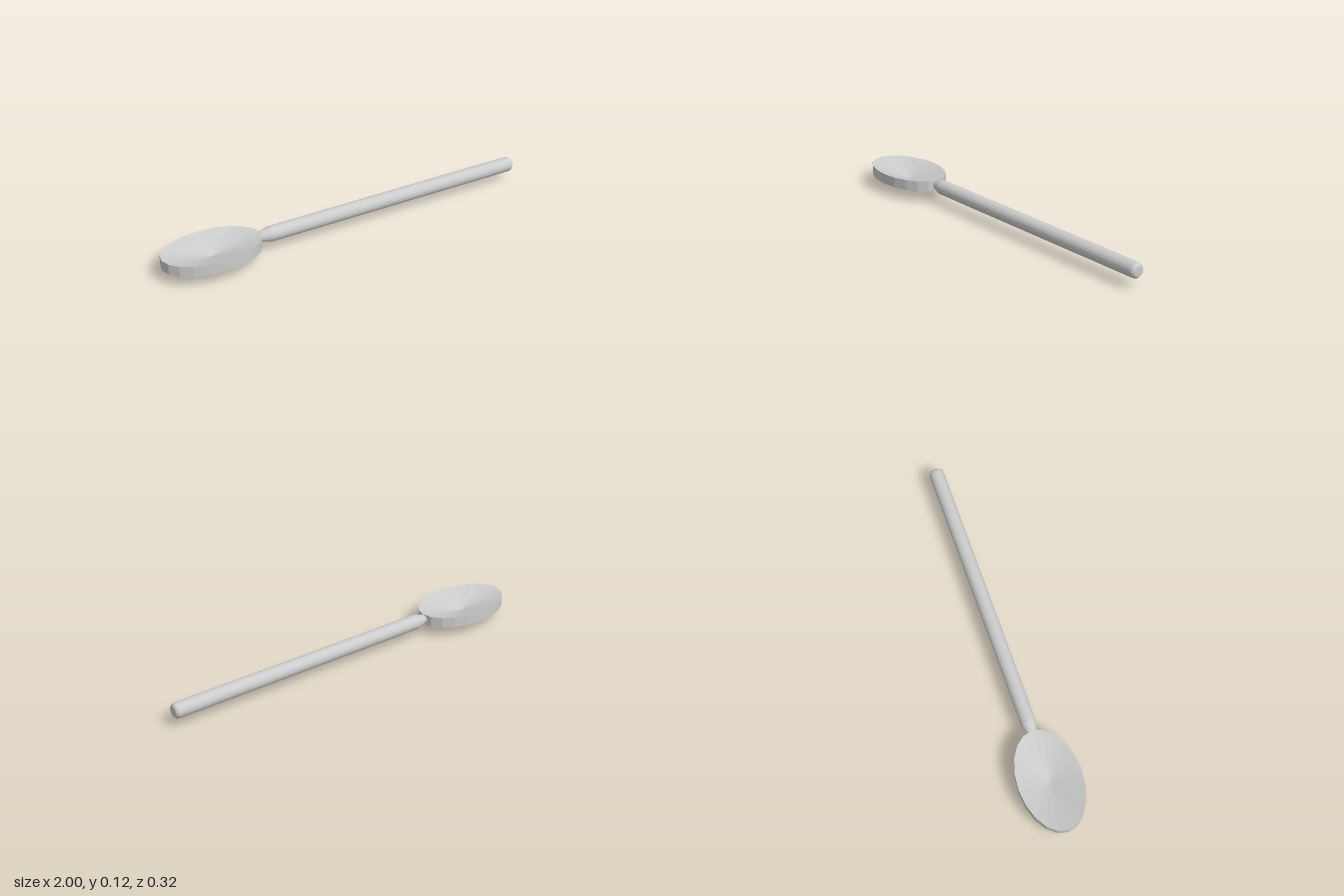
import * as THREE from 'three';

const SEGMENTS = 20;
const material = new THREE.MeshStandardMaterial({ color: 0xcccccc, flatShading: true });

// Turned part from [radius, height] pairs, listed from bottom to top
function turned(name, profile) {
  const points = profile.map(([r, h]) => new THREE.Vector2(r, h));
  const mesh = new THREE.Mesh(new THREE.LatheGeometry(points, SEGMENTS), material);
  mesh.name = name;
  return mesh;
}

export function createModel() {
  const group = new THREE.Group();
  group.name = 'spoon';

  // Oval bowl: conical underside, upright rim, conical hollow on top
  const bowl = turned('bowl', [[0, 0], [1, 0.057], [1, 0.111], [0, 0.055]]);
  bowl.scale.set(0.256, 1, 0.158);
  bowl.position.x = -0.744;
  group.add(bowl);

  // Round handle: tapered neck at the bowl, rounded tip at the far end
  const handle = turned('handle', [
    [0, -0.5], [0.021, -0.5], [0.03, -0.47], [0.0385, -0.44],
    [0.0385, 0.978], [0.036, 0.99], [0.028, 0.998], [0.015, 1], [0, 1],
  ]);
  handle.rotation.z = -Math.PI / 2;
  handle.position.y = 0.084;
  group.add(handle);

  return group;
}
